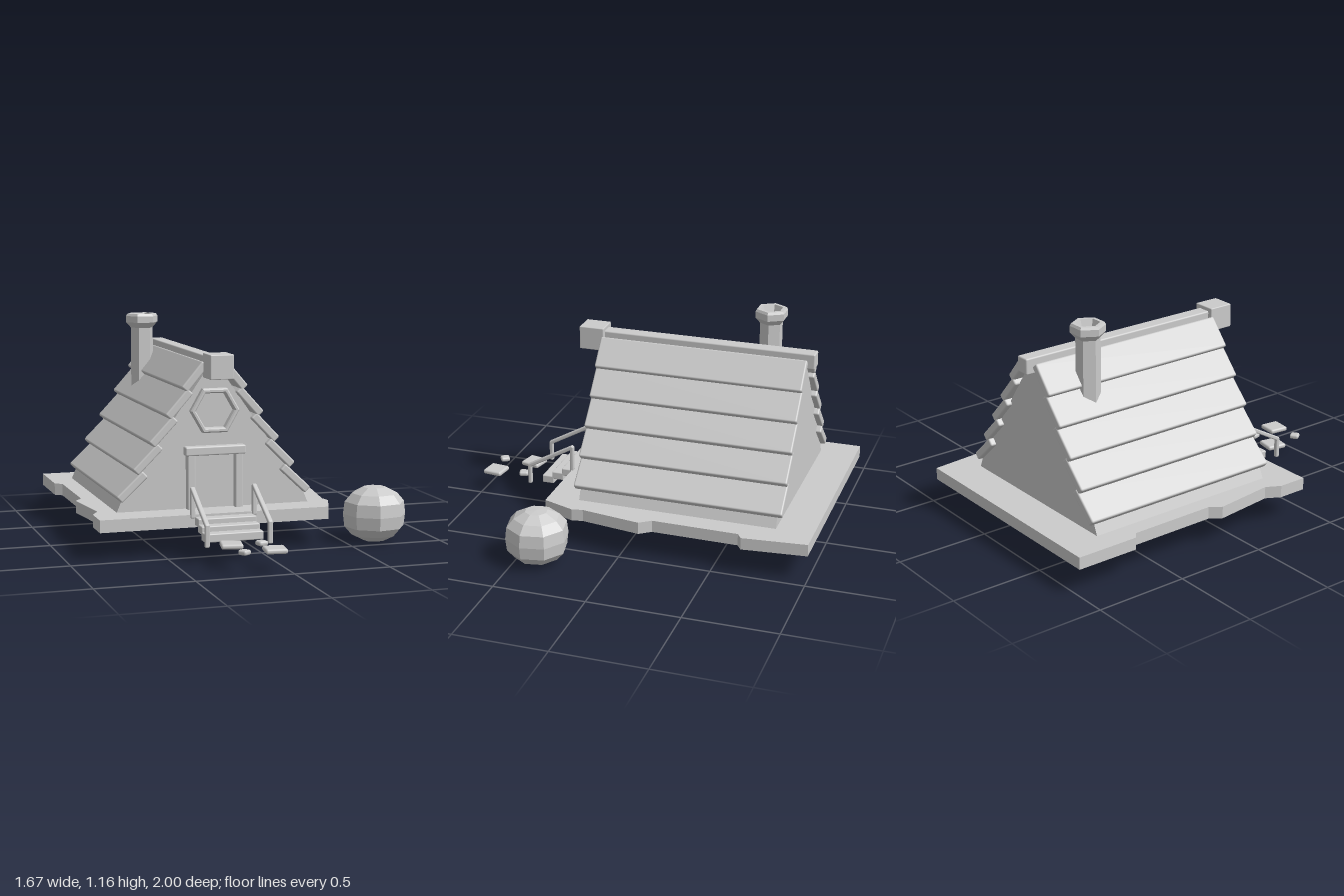
import * as THREE from 'three';
import { RoundedBoxGeometry } from 'three/addons/geometries/RoundedBoxGeometry.js';

const MID = -0.19; // x of the cabin's centre line
const V2 = (p) => p.map(([x, y]) => new THREE.Vector2(x, y));

export function createModel() {
  const model = new THREE.Group();
  const mat = new THREE.MeshStandardMaterial({ color: 0xcccccc });
  const flat = new THREE.MeshStandardMaterial({ color: 0xcccccc, flatShading: true });

  const add = (name, geo, x = 0, y = 0, z = 0, material = flat) => {
    const mesh = new THREE.Mesh(geo, material);
    mesh.name = name;
    mesh.position.set(x, y, z);
    model.add(mesh);
    return mesh;
  };
  // Softened box given by its extents
  const box = (name, x0, x1, y0, y1, z0, z1, r = 0.008) =>
    add(name, new RoundedBoxGeometry(x1 - x0, y1 - y0, z1 - z0, 2, r),
      (x0 + x1) / 2, (y0 + y1) / 2, (z0 + z1) / 2, mat);
  const extrude = (shape, depth) =>
    new THREE.ExtrudeGeometry(shape, { depth, bevelEnabled: false });

  // Platform with notched sides
  const outline = V2([
    [-0.838, -1], [0.452, -1], [0.485, -0.655], [0.446, -0.63], [0.44, -0.165],
    [0.485, -0.105], [0.435, 0.22], [0.446, 0.28], [0.384, 0.452], [-0.838, 0.452],
    [-0.838, 0.295], [-0.797, 0.22], [-0.838, -0.105], [-0.797, -0.165],
    [-0.8, -0.63], [-0.838, -0.66],
  ]);
  const deck = extrude(new THREE.Shape(outline), 0.065);
  deck.rotateX(Math.PI / 2);
  add('platform', deck, 0, 0.21, 0);

  // Cabin walls: a gabled prism with a round-window recess
  const gable = new THREE.Shape(V2([
    [-0.523, 0.2], [0.523, 0.2], [0.485, 0.29], [0, 0.985], [-0.485, 0.29],
  ]));
  add('cabinWalls', extrude(gable, 1.08), MID, 0, -0.8);

  // Overlapping roof planks, mirrored on both slopes
  for (const side of [-1, 1]) {
    for (let i = 0; i < 5; i++) {
      const length = 0.19 - 0.004 * i;
      const plank = add('roofPlank', new RoundedBoxGeometry(length, 0.043, 1.14, 2, 0.009),
        MID + side * (0.442 - 0.0838 * i), 0.342 + 0.139 * i, -0.26, mat);
      plank.rotation.z = -side * THREE.MathUtils.degToRad(43 + 1.7 * i);
    }
  }

  // Ridge beam and its end block
  box('ridgeBeam', MID - 0.038, MID + 0.038, 0.915, 1.0, -0.865, 0.32);
  box('ridgeEndBlock', MID - 0.063, MID + 0.063, 0.893, 1.02, 0.298, 0.435, 0.005);

  // Hexagonal chimney with flared, hollow cap
  const chimney = V2([
    [0, 0.58], [0.063, 0.58], [0.063, 1.085], [0.09, 1.115], [0.09, 1.15],
    [0.082, 1.163], [0.062, 1.163], [0.04, 1.1], [0, 1.1],
  ]);
  add('chimney', new THREE.LatheGeometry(chimney, 6, Math.PI / 2), -0.347, 0, -0.577);

  // Hexagonal window: bevelled ring in front of a pane
  const ringProfile = V2([
    [0.1, 0.0], [0.132, 0.0], [0.132, 0.034], [0.124, 0.042],
    [0.112, 0.042], [0.105, 0.034], [0.1, 0.0],
  ]);
  const ring = new THREE.LatheGeometry(ringProfile, 6, Math.PI / 2);
  ring.rotateX(Math.PI / 2);
  add('windowFrame', ring, MID, 0.72, 0.275);
  const pane = new THREE.CircleGeometry(0.104, 6);
  add('windowPane', pane, MID, 0.72, 0.283);

  // Door frame
  for (const side of [-1, 1]) {
    const x = MID + side * 0.129;
    box('doorPost', x - 0.022, x + 0.022, 0.2, 0.5, 0.265, 0.318);
  }
  box('doorLintel', MID - 0.163, MID + 0.163, 0.49, 0.537, 0.265, 0.325);

  // Stair treads
  for (let i = 0; i < 3; i++) {
    const y = 0.178 - 0.028 * i;
    const z = 0.487 + 0.058 * i;
    box('stairTread', MID - 0.155, MID + 0.155, y - 0.022, y + 0.022, z - 0.034, z + 0.034, 0.006);
  }

  // Handrails: mitred square bars following the stairs
  const railPath = [[0.452, 0.2], [0.452, 0.343], [0.705, 0.202], [0.705, 0.1]];
  for (const side of [-1, 1]) {
    const rail = new THREE.Group();
    rail.name = 'handrail';
    rail.position.x = MID + side * 0.165;
    for (let i = 0; i < 3; i++) {
      const [z0, y0] = railPath[i];
      const [z1, y1] = railPath[i + 1];
      const len = Math.hypot(z1 - z0, y1 - y0) + 0.016;
      const bar = new THREE.Mesh(new RoundedBoxGeometry(0.025, 0.022, len, 2, 0.007), mat);
      bar.name = 'railBar';
      bar.position.set(0, (y0 + y1) / 2, (z0 + z1) / 2);
      bar.rotation.x = -Math.atan2(y1 - y0, z1 - z0);
      rail.add(bar);
    }
    model.add(rail);
  }

  // Stepping stones: x, z, size, turn
  const stones = [
    [-0.25, 0.772, 0.11, -0.2], [-0.08, 0.937, 0.11, -0.12],
    [-0.093, 0.772, 0.052, 0.25], [-0.24, 0.95, 0.05, 0.6],
  ];
  for (const [x, z, size, turn] of stones) {
    const stone = add('steppingStone',
      new RoundedBoxGeometry(size, 0.026, size, 2, 0.011), x, 0.113, z, mat);
    stone.rotation.y = turn;
  }

  // Faceted boulder
  const boulder = V2([
    [0, 0], [0.06, 0.004], [0.122, 0.036], [0.16, 0.08], [0.168, 0.147],
    [0.16, 0.213], [0.122, 0.257], [0.06, 0.289], [0, 0.293],
  ]);
  add('boulder', new THREE.LatheGeometry(boulder, 8, THREE.MathUtils.degToRad(34)), 0.667, 0, 0.388);

  return model;
}
